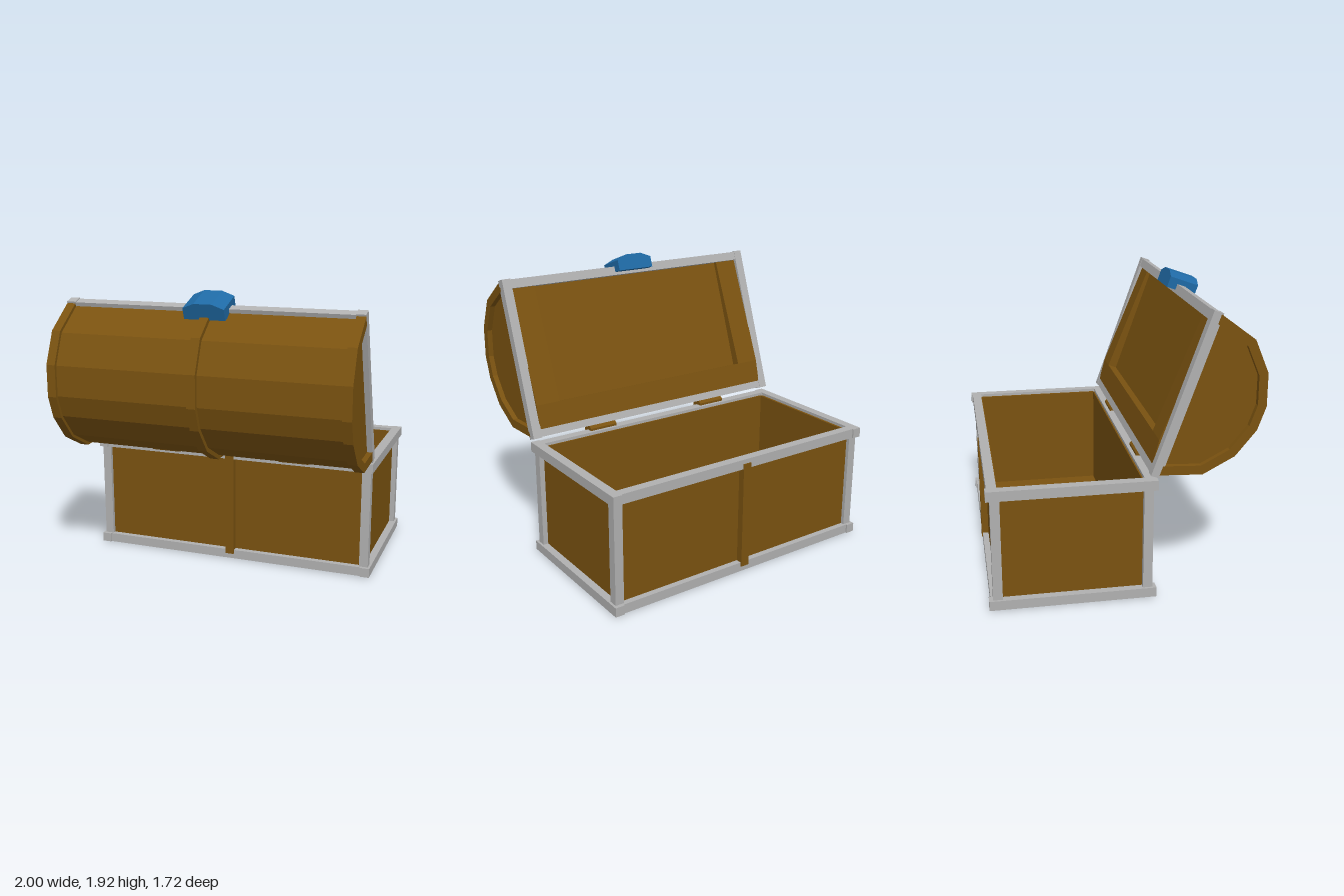
import * as THREE from 'three';

const mat = (color) => new THREE.MeshStandardMaterial({ color, flatShading: true });

export function createModel() {
  const wood = mat(0x7a5210), metal = mat(0xb0b0b0), blue = mat(0x1f6aa5);
  const model = new THREE.Group();
  model.name = 'openChest';
  const base = new THREE.Group();
  base.name = 'chestBase';
  const lid = new THREE.Group();
  lid.name = 'lid';
  model.add(base, lid);

  const add = (parent, name, geo, m) => {
    const mesh = new THREE.Mesh(geo, m);
    mesh.name = name;
    parent.add(mesh);
    return mesh;
  };
  // Box given by its limits on each axis
  const box = (parent, name, m, [x0, x1], [y0, y1], [z0, z1]) => {
    const g = new THREE.BoxGeometry(x1 - x0, y1 - y0, z1 - z0);
    g.translate((x0 + x1) / 2, (y0 + y1) / 2, (z0 + z1) / 2);
    return add(parent, name, g, m);
  };
  // Profile of [z, y] points, extruded along x
  const alongX = (parent, name, m, pts, x0, x1) => {
    const shape = new THREE.Shape(pts.map(([z, y]) => new THREE.Vector2(-z, y)));
    const g = new THREE.ExtrudeGeometry(shape, { depth: x1 - x0, bevelEnabled: false });
    g.rotateY(Math.PI / 2).translate(x0, 0, 0);
    return add(parent, name, g, m);
  };
  const mirrored = (s, a, b) => (s > 0 ? [a, b] : [-b, -a]);

  // Chest walls and floor
  box(base, 'floor', wood, [-0.95, 0.95], [0.02, 0.05], [-0.81, 0.145]);
  box(base, 'frontWall', wood, [-0.95, 0.95], [0.03, 0.78], [0.11, 0.145]);
  box(base, 'backWall', wood, [-0.95, 0.95], [0.03, 0.78], [-0.81, -0.78]);
  for (const s of [1, -1]) {
    box(base, 'sideWall', wood, mirrored(s, 0.92, 0.95), [0.03, 0.78], [-0.8, 0.13]);
  }

  // Metal frames at the bottom and top
  for (const [name, y0, y1] of [['bottomFrame', 0.005, 0.068], ['topFrame', 0.735, 0.8]]) {
    box(base, name + 'Front', metal, [-0.985, 0.985], [y0, y1], [0.12, 0.185]);
    box(base, name + 'Back', metal, [-0.985, 0.985], [y0, y1], [-0.85, -0.787]);
    for (const s of [1, -1]) {
      box(base, name + 'Side', metal, mirrored(s, 0.937, 1), [y0, y1], [-0.86, 0.195]);
    }
  }

  // Corner posts and middle straps
  for (const s of [1, -1]) {
    for (const z of [0.11, -0.835]) {
      box(base, 'cornerPost', metal, mirrored(s, 0.925, 0.985), [0, 0.79], [z, z + 0.06]);
    }
  }
  box(base, 'frontStrap', wood, [-0.03, 0.03], [0.04, 0.77], [0.14, 0.193]);
  box(base, 'backStrap', wood, [-0.03, 0.03], [0.04, 0.77], [-0.857, -0.8]);

  // Hinges
  for (const s of [1, -1]) {
    const g = new THREE.CylinderGeometry(0.046, 0.046, 0.205, 7);
    g.rotateZ(Math.PI / 2).translate(s * 0.465, 0.795, 0.185);
    add(model, 'hinge', g, wood);
  }

  // Lid: local y runs from hinge to lock, local z points out of the crown
  lid.position.set(0, 0.82, 0.14);
  lid.rotation.x = 0.342;
  const mid = 0.555, floorZ = 0.05;
  const half = [[0.53, 0.05], [0.45, 0.312], [0.28, 0.468], [0.08, 0.54]];
  const arch = (k) => [
    ...half.map(([h, z]) => [floorZ + (z - floorZ) * k, mid + h * k]),
    ...half.map(([h, z]) => [floorZ + (z - floorZ) * k, mid - h * k]).reverse(),
  ];
  const archBand = (outer, inner) => [...arch(outer), ...arch(inner).reverse()];

  alongX(lid, 'crown', wood, arch(0.945), -0.965, 0.965);
  alongX(lid, 'crownStrap', wood, archBand(1, 0.92), -0.03, 0.03);
  for (const s of [1, -1]) {
    alongX(lid, 'endBand', wood, archBand(0.985, 0.87), ...mirrored(s, 0.94, 1));
    box(lid, 'lidFrameSide', metal, mirrored(s, 0.937, 1), [0.015, 1.085], [0, 0.062]);
    // Raised lining at each side of the lid's inside
    alongX(lid, 'sideLining', wood, [[0.055, 0.23], [0.055, 1.03], [0.025, 1.03], [-0.012, 0.23]],
      ...mirrored(s, 0.765, 0.94));
  }
  box(lid, 'lidFrameFront', metal, [-0.985, 0.985], [1.02, 1.08], [0.003, 0.06]);
  box(lid, 'lidFrameHinge', metal, [-0.985, 0.985], [0.02, 0.075], [0.003, 0.06]);
  alongX(lid, 'hingeLining', wood, [[0.055, 0.06], [0.055, 0.23], [-0.012, 0.23], [0.004, 0.06]], -0.94, 0.94);

  // Lock with a bowed top
  const lockShape = new THREE.Shape([
    [-0.137, 1.04], [0.137, 1.04], [0.137, 1.115], [0.06, 1.147], [-0.06, 1.147], [-0.137, 1.115],
  ].map(([x, y]) => new THREE.Vector2(x, y)));
  const lock = new THREE.ExtrudeGeometry(lockShape, { depth: 0.2, bevelEnabled: false });
  lock.translate(0, 0, -0.058);
  add(lid, 'lock', lock, blue);

  return model;
}
